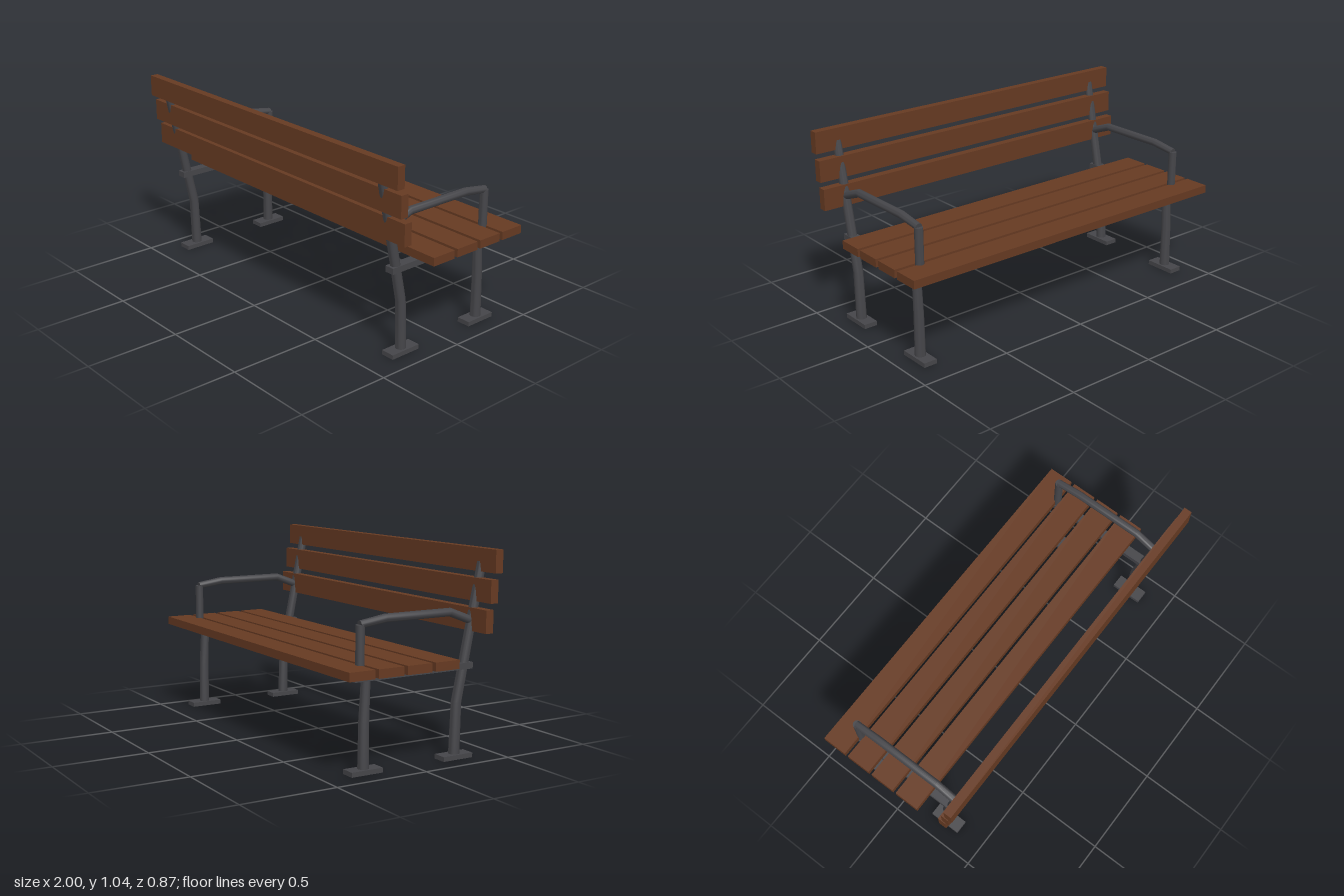
import * as THREE from 'three';
import { toCreasedNormals } from 'three/addons/utils/BufferGeometryUtils.js';

const wood = new THREE.MeshStandardMaterial({ color: 0x663a22 });
wood.name = 'brown wood';
const iron = new THREE.MeshStandardMaterial({ color: 0x454549 });
iron.name = 'dark grey iron';

// Box given by its centre and size
function box(name, material, [w, h, d], [x, y, z]) {
  const mesh = new THREE.Mesh(new THREE.BoxGeometry(w, h, d), material);
  mesh.name = name;
  mesh.position.set(x, y, z);
  return mesh;
}

// Mitred round bar through points [z, y, radius], made by bending a cylinder
function bar(name, points) {
  const n = points.length - 1;
  const geometry = new THREE.CylinderGeometry(1, 1, 1, 20, n);
  const pos = geometry.attributes.position;
  const path = points.map(([z, y]) => new THREE.Vector2(z, y));
  const direction = (i) => path[i + 1].clone().sub(path[i]).normalize();
  const rings = path.map((p, i) => {
    const before = direction(Math.max(i - 1, 0));
    const after = direction(Math.min(i, n - 1));
    const t = before.clone().add(after).normalize();
    return { p, t, r: points[i][2], mitre: 1 / t.dot(after) };
  });
  for (let i = 0; i < pos.count; i++) {
    const { p, t, r, mitre } = rings[Math.round((pos.getY(i) + 0.5) * n)];
    const side = pos.getZ(i) * r * mitre;
    pos.setXYZ(i, pos.getX(i) * r, p.y - t.x * side, p.x + t.y * side);
  }
  const mesh = new THREE.Mesh(toCreasedNormals(geometry, 0.7), iron);
  mesh.name = name;
  return mesh;
}

// One side of the iron frame
function endFrame(name, x) {
  const frame = new THREE.Group();
  frame.name = name;
  frame.position.x = x;
  frame.add(
    bar('backPost', [[0.262, 0.005, 0.028], [0.271, 0.285, 0.026], [0.413, 0.97, 0.023]]),
    bar('frontLeg', [[-0.274, 0.005, 0.028], [-0.272, 0.25, 0.026], [-0.262, 0.465, 0.023]]),
    bar('armrest', [[0.345, 0.688, 0.021], [0.222, 0.735, 0.021], [-0.155, 0.735, 0.021], [-0.297, 0.715, 0.019]]),
    bar('armPost', [[-0.295, 0.47, 0.022], [-0.295, 0.714, 0.022]]),
    box('seatRail', iron, [0.053, 0.032, 0.69], [0, 0.464, 0.005]),
    box('backFoot', iron, [0.075, 0.024, 0.176], [0, 0.012, 0.262]),
    box('frontFoot', iron, [0.075, 0.024, 0.176], [0, 0.012, -0.273]),
  );
  return frame;
}

export function createModel() {
  const bench = new THREE.Group();
  bench.name = 'bench';

  // Four seat slats
  for (let i = 0; i < 4; i++) {
    bench.add(box('seatSlat', wood, [2, 0.044, 0.14], [0, 0.502, -0.367 + i * 0.161]));
  }
  // Three upright slats, stepped along the leaning posts
  for (let i = 0; i < 3; i++) {
    bench.add(box('backSlat', wood, [2, 0.115, 0.044], [0, 0.692 + i * 0.145, 0.363 + i * 0.026]));
  }
  bench.add(endFrame('leftFrame', 0.867), endFrame('rightFrame', -0.867));
  return bench;
}
